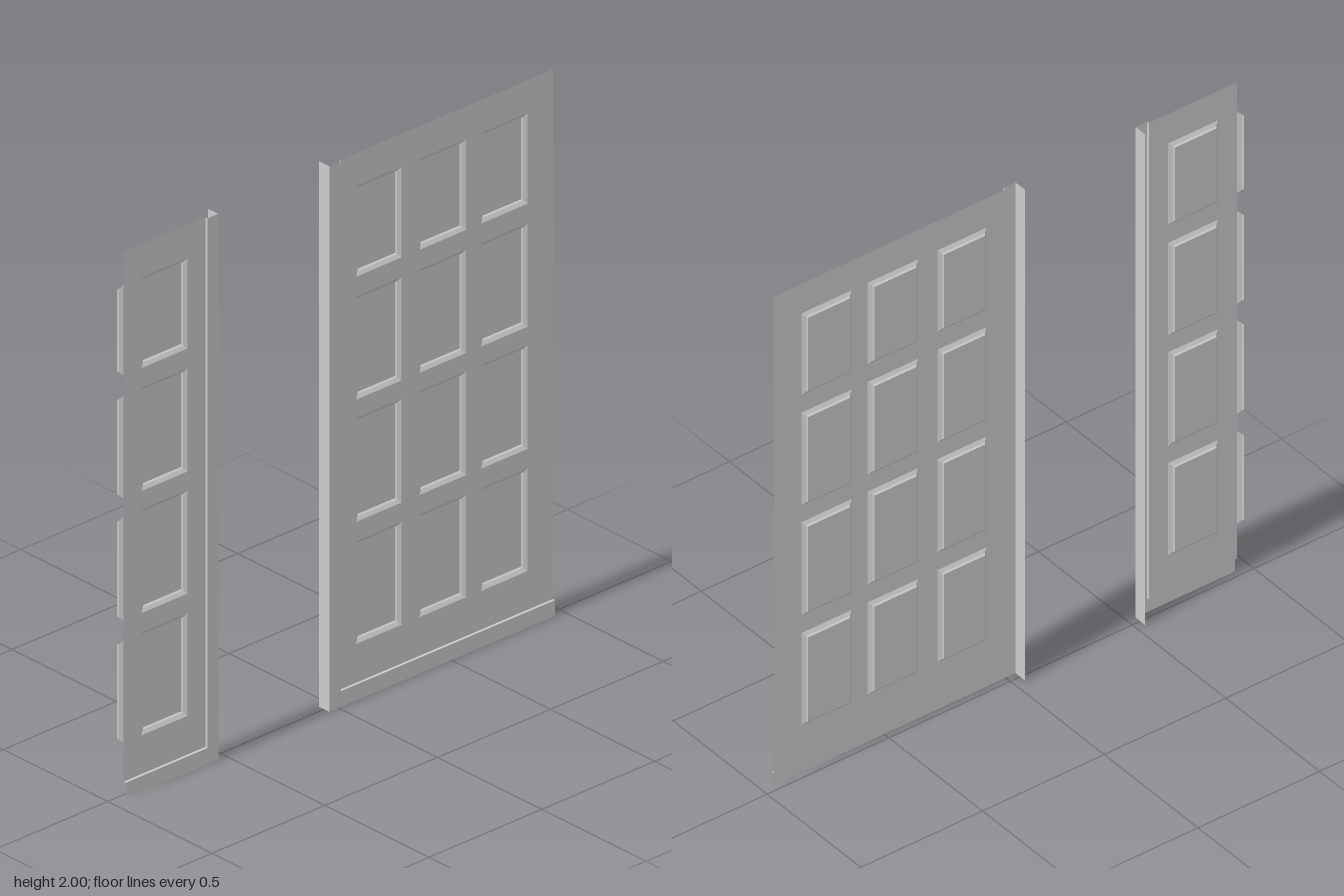
import * as THREE from 'three';

const material = new THREE.MeshStandardMaterial({ color: 0xcccccc, side: THREE.DoubleSide, flatShading: true });

// Local frame: x runs along the wall, y up, z is depth (turned to +x at the end)
const TOP = 2, FACE = 0.015, TRIM = 0.025, BACK = -0.025, BASE = 0.058;
const ROWS = [[0.2, 0.577], [0.648, 1.029], [1.096, 1.475], [1.547, 1.88]];
// Recess profile: inset from the opening, depth
const PROFILE = [[0, FACE], [0.013, 0.007], [0.017, 0.001]];

function quadMesh(name, quads) {
  const pos = [];
  for (const [a, b, c, d] of quads) pos.push(...a, ...b, ...c, ...a, ...c, ...d);
  const geo = new THREE.BufferGeometry();
  geo.setAttribute('position', new THREE.Float32BufferAttribute(pos, 3));
  geo.computeVertexNormals();
  const mesh = new THREE.Mesh(geo, material);
  mesh.name = name;
  return mesh;
}

const rect = (u0, u1, y0, y1, z) => [[u0, y0, z], [u1, y0, z], [u1, y1, z], [u0, y1, z]];

// Stepped bevel round an opening; sides: 0 bottom, 1 right, 2 top, 3 left
function recess(name, u0, u1, y0, y1, sides = [0, 1, 2, 3], field = true) {
  const rings = PROFILE.map(([i, z]) => rect(u0 + i, u1 - i, y0 + i, y1 - i, z));
  const quads = [];
  for (let r = 0; r < rings.length - 1; r++) {
    for (const s of sides) {
      const t = (s + 1) % 4;
      quads.push([rings[r][s], rings[r][t], rings[r + 1][t], rings[r + 1][s]]);
    }
  }
  if (field) quads.push(rings[rings.length - 1]);
  return quadMesh(name, quads);
}

// Flat sheet with one opening per panel
function sheet(name, u0, u1, columns) {
  const outline = (a, b, c, d) => [[a, c], [b, c], [b, d], [a, d]].map(([x, y]) => new THREE.Vector2(x, y));
  const shape = new THREE.Shape(outline(u0, u1, BASE, TOP));
  for (const [a, b] of columns) {
    for (const [c, d] of ROWS) shape.holes.push(new THREE.Path(outline(a, b, c, d).reverse()));
  }
  const mesh = new THREE.Mesh(new THREE.ShapeGeometry(shape).translate(0, 0, FACE), material);
  mesh.name = name;
  return mesh;
}

// Panelled section: open end at "end", trim from "inner" to "outer" with a return flange
function section(name, end, inner, outer, columns) {
  const group = new THREE.Group();
  group.name = name;
  const lo = Math.min(end, inner), hi = Math.max(end, inner);
  group.add(sheet('panelSheet', lo, hi, columns));
  for (const [a, b] of columns) {
    for (const [c, d] of ROWS) group.add(recess('recessedPanel', a, b, c, d));
  }

  // Upright trim: face, step down to the sheet, and return flange
  const dir = Math.sign(inner - end);
  const step = [[inner, BASE, FACE], [inner, BASE, TRIM], [inner, TOP, TRIM], [inner, TOP, FACE]];
  const flange = [[outer, 0, TRIM], [outer, 0, BACK], [outer, TOP, BACK], [outer, TOP, TRIM]];
  if (dir > 0) step.reverse();
  else flange.reverse();
  group.add(quadMesh('uprightTrim', [
    rect(Math.min(inner, outer), Math.max(inner, outer), 0, TOP, TRIM), step]));
  group.add(quadMesh('returnFlange', [flange]));

  // Base strip with its ledge
  group.add(quadMesh('baseStrip', [
    rect(lo, hi, 0, BASE, TRIM),
    [[lo, BASE, TRIM], [hi, BASE, TRIM], [hi, BASE, FACE], [lo, BASE, FACE]]]));
  return group;
}

export function createModel() {
  const wall = new THREE.Group();
  wall.name = 'panelledWall';

  wall.add(section('wideSection', 0.96, 0.011, -0.04,
    [[0.087, 0.289], [0.368, 0.575], [0.641, 0.848]]));

  const narrow = section('narrowSection', -0.943, -0.58, -0.533, [[-0.864, -0.66]]);
  // Bevels of the neighbouring column, cut off at the open end
  for (const [c, d] of ROWS) narrow.add(recess('edgeBevel', -1.15, -0.943, c, d, [1], false));
  wall.add(narrow);

  wall.rotation.y = Math.PI / 2;
  const model = new THREE.Group();
  model.add(wall);
  return model;
}
